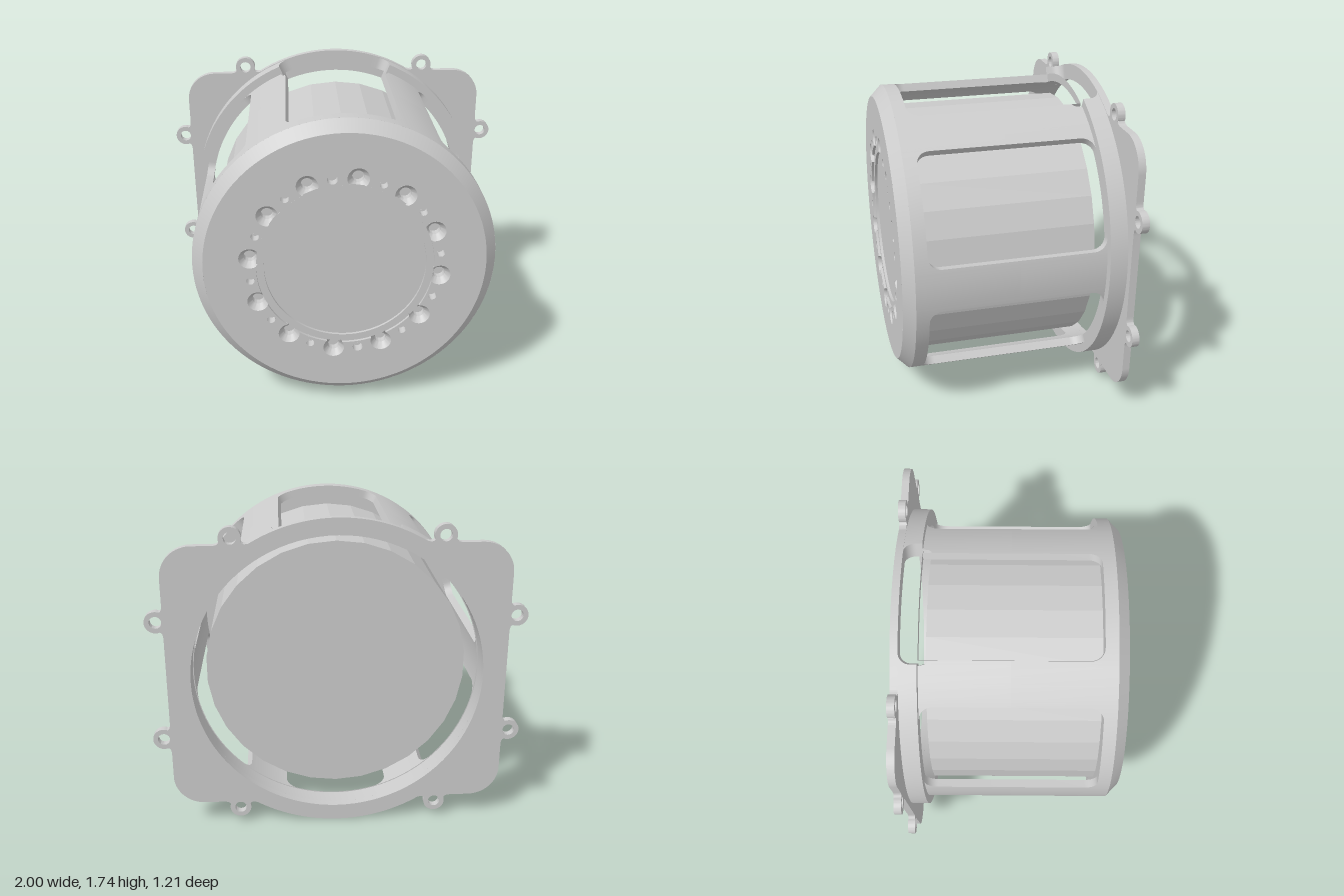
import * as THREE from 'three';
import { mergeGeometries, toCreasedNormals } from 'three/addons/utils/BufferGeometryUtils.js';

const RAD = Math.PI / 180;
const CENTRE_Y = 0.87;
const FACE_Z = 0.605, RING_Z = -0.47, PLATE_Z = -0.565;

// Rectangular section swept round the z axis; each row is { phi, za, zb }.
function sweepRing(rows, rIn, rOut) {
  const pos = [], index = [];
  for (const { phi, za, zb } of rows) {
    for (const [r, z] of [[rIn, za], [rOut, za], [rOut, zb], [rIn, zb]]) {
      pos.push(r * Math.cos(phi), r * Math.sin(phi), z);
    }
  }
  for (let i = 0; i < rows.length - 1; i++) {
    for (let j = 0; j < 4; j++) {
      const a = i * 4 + j, b = i * 4 + (j + 1) % 4;
      index.push(a, a + 4, b, a + 4, b + 4, b);
    }
  }
  const geo = new THREE.BufferGeometry();
  geo.setAttribute('position', new THREE.Float32BufferAttribute(pos, 3));
  geo.setIndex(index);
  return toCreasedNormals(geo, 0.6);
}

// Half of a window, centre to edge, with a rounded corner of the given radius.
function halfWindow(edge, radius, wallR) {
  const c = radius / wallR, rows = [];
  for (let i = 0; i < 6; i++) rows.push({ t: (edge - c) * i / 6, lift: 0 });
  for (let i = 0; i <= 8; i++) {
    const a = i / 8 * Math.PI / 2;
    rows.push({ t: edge - c + c * Math.sin(a), lift: radius * (1 - Math.cos(a)) });
  }
  return rows;
}

const mirrorRows = half => [...half.slice(1).reverse().map(r => ({ ...r, t: -r.t })), ...half];

// Lathe profile of [radius, z] pairs, turned to run along z.
function latheZ(points, segments = 96, start = 0, length = Math.PI * 2) {
  const pts = points.map(p => new THREE.Vector2(...p));
  return new THREE.LatheGeometry(pts, segments, start, length).rotateX(Math.PI / 2);
}

function circlePath(x, y, r) {
  return new THREE.Path().absarc(x, y, r, 0, Math.PI * 2, true);
}

// Flange outline: one quadrant with two screw ears, mirrored into four.
function flangeShape() {
  const q = new THREE.Path();
  q.moveTo(0.905, 0);
  q.lineTo(0.905, 0.24);
  q.quadraticCurveTo(0.905, 0.28, 0.922, 0.281);
  q.absarc(0.942, 0.335, 0.058, -110 * RAD, 110 * RAD, false);
  q.quadraticCurveTo(0.905, 0.39, 0.905, 0.43);
  q.absarc(0.74, 0.57, 0.165, 0, Math.PI / 2, false);
  q.lineTo(0.64, 0.735);
  q.quadraticCurveTo(0.605, 0.735, 0.6, 0.752);
  q.absarc(0.545, 0.772, 0.058, -20 * RAD, 200 * RAD, false);
  q.quadraticCurveTo(0.485, 0.735, 0.45, 0.7446);
  q.absarc(0, 0, 0.87, Math.atan2(0.7446, 0.45), Math.PI / 2, false);
  const p = q.getPoints(16), back = [...p].reverse();
  const flip = (list, sx, sy) => list.slice(0, -1).map(v => new THREE.Vector2(v.x * sx, v.y * sy));
  const shape = new THREE.Shape([
    ...flip(p, 1, 1), ...flip(back, -1, 1), ...flip(p, -1, -1), ...flip(back, 1, -1),
  ]);
  shape.holes.push(circlePath(0, 0, 0.78));
  for (const sx of [-1, 1]) for (const sy of [-1, 1]) {
    shape.holes.push(circlePath(sx * 0.942, sy * 0.335, 0.032), circlePath(sx * 0.545, sy * 0.772, 0.032));
  }
  return shape;
}

export function createModel() {
  const group = new THREE.Group();
  const grey = new THREE.MeshStandardMaterial({ color: 0xcccccc });
  const thin = new THREE.MeshStandardMaterial({ color: 0xcccccc, side: THREE.DoubleSide });
  const facet = new THREE.MeshStandardMaterial({ color: 0xcccccc, flatShading: true });
  const add = (name, geo, mat = grey) => {
    const mesh = new THREE.Mesh(geo, mat);
    mesh.name = name;
    mesh.position.y = CENTRE_Y;
    group.add(mesh);
  };

  // Outer housing: six windows, ribs split at z = 0 into a front and a rear half
  const edge = 21.5 * RAD, flare = 2 * RAD;
  const half = halfWindow(edge, 0.07, 0.82);
  for (let i = 0; i <= 4; i++) half.push({ t: edge + flare * i / 4, rib: true, f: i / 4 });
  half.push({ t: 27 * RAD, rib: true, f: 1 }, { t: 30 * RAD, rib: true, f: 1 });
  const bay = mirrorRows(half), front = [], rear = [];
  for (let k = 0; k < 6; k++) {
    for (const { t, lift, rib, f } of bay) {
      const phi = (90 + 60 * k) * RAD + t;
      front.push({ phi, za: rib ? 0 : 0.475 - lift, zb: 0.545 });
      // The top window opens wider where it meets the flange ring
      if (k === 0) {
        const za = rib ? RING_Z + 0.05 * Math.sqrt(1 - f * f) : RING_Z;
        rear.push({ phi, za, zb: rib ? 0 : RING_Z });
      } else rear.push({ phi, za: RING_Z, zb: rib ? 0 : RING_Z + lift });
    }
  }
  add('housingFront', sweepRing(front, 0.775, 0.82));
  add('housingRear', sweepRing(rear, 0.775, 0.82));

  // Flange ring, notched at the top
  const notch = halfWindow(22.8 * RAD, 0.06, 0.867);
  for (let i = 0; i <= 48; i++) notch.push({ t: (22.8 + 157.2 * i / 48) * RAD, lift: RING_Z - PLATE_Z });
  add('flangeRing', sweepRing(mirrorRows(notch).map(({ t, lift }) => (
    { phi: Math.PI / 2 + t, za: PLATE_Z, zb: PLATE_Z + lift })), 0.78, 0.867));

  // Mounting flange with screw ears
  const plate = new THREE.ExtrudeGeometry(flangeShape(), { depth: 0.04, bevelEnabled: false, curveSegments: 48 });
  add('mountingFlange', toCreasedNormals(plate.translate(0, 0, -0.605), 0.6));

  // Inner drum
  add('innerDrum', new THREE.CylinderGeometry(0.71, 0.71, 0.915, 30).rotateX(Math.PI / 2).translate(0, 0, 0.0175), facet);

  // Front cap: chamfer, inner wall and face with a scalloped recess opening
  add('capChamfer', latheZ([[0.82, 0.545], [0.76, FACE_Z]]));
  add('capInnerWall', new THREE.CircleGeometry(0.8, 96).translate(0, 0, 0.476), thin);
  const pitR = 0.058, ringR = 0.515, recessR = 0.478, step = 30 * RAD, first = 82.7 * RAD;
  const overlap = Math.acos((ringR ** 2 + recessR ** 2 - pitR ** 2) / (2 * ringR * recessR));
  const sweep = Math.atan2(recessR * Math.sin(overlap), recessR * Math.cos(overlap) - ringR);
  const face = new THREE.Shape().absarc(0, 0, 0.76, 0, Math.PI * 2, false);
  const opening = new THREE.Path();
  const walls = [], pits = [], holes = [];
  for (let k = 0; k < 12; k++) {
    const a = first + k * step, b = a + step / 2;
    const x = ringR * Math.cos(a), y = ringR * Math.sin(a);
    opening.absarc(x, y, pitR, a - sweep, a + sweep, false);
    opening.absarc(0, 0, recessR, a + overlap, a + step - overlap, false);
    walls.push(latheZ([[recessR, 0.59], [recessR, FACE_Z]], 8, a + overlap + Math.PI / 2, step - 2 * overlap));

    // Countersunk screw hole, trimmed down to the ledge where it meets the recess
    const pit = toCreasedNormals(latheZ([[0, 0.53], [0.032, 0.53], [0.032, 0.57], [pitR, FACE_Z]], 32), 0.4)
      .translate(x, y, 0);
    const p = pit.attributes.position;
    for (let i = 0; i < p.count; i++) {
      if (Math.hypot(p.getX(i), p.getY(i)) < recessR - 0.001) p.setZ(i, Math.min(p.getZ(i), 0.59));
    }
    pits.push(pit);

    // Small pin hole between the screws; two opposite ones are larger
    const r = k % 6 === 0 ? 0.028 : 0.022;
    const hx = ringR * Math.cos(b), hy = ringR * Math.sin(b);
    face.holes.push(circlePath(hx, hy, r));
    holes.push(toCreasedNormals(latheZ([[0, 0.55], [r, 0.55], [r, FACE_Z]], 24), 0.4).translate(hx, hy, 0));
  }
  face.holes.push(opening);
  add('capFace', new THREE.ShapeGeometry(face, 32).translate(0, 0, FACE_Z));
  add('screwHoles', mergeGeometries(pits), thin);
  add('pinHoles', mergeGeometries(holes), thin);

  // Stepped central recess
  add('recessWall', mergeGeometries(walls), thin);
  add('recessLedge', new THREE.RingGeometry(0.437, recessR, 96).translate(0, 0, 0.59));
  add('recessStep', latheZ([[0.437, 0.575], [0.437, 0.59]]), thin);
  add('recessFloor', new THREE.CircleGeometry(0.437, 96).translate(0, 0, 0.575));

  return group;
}
